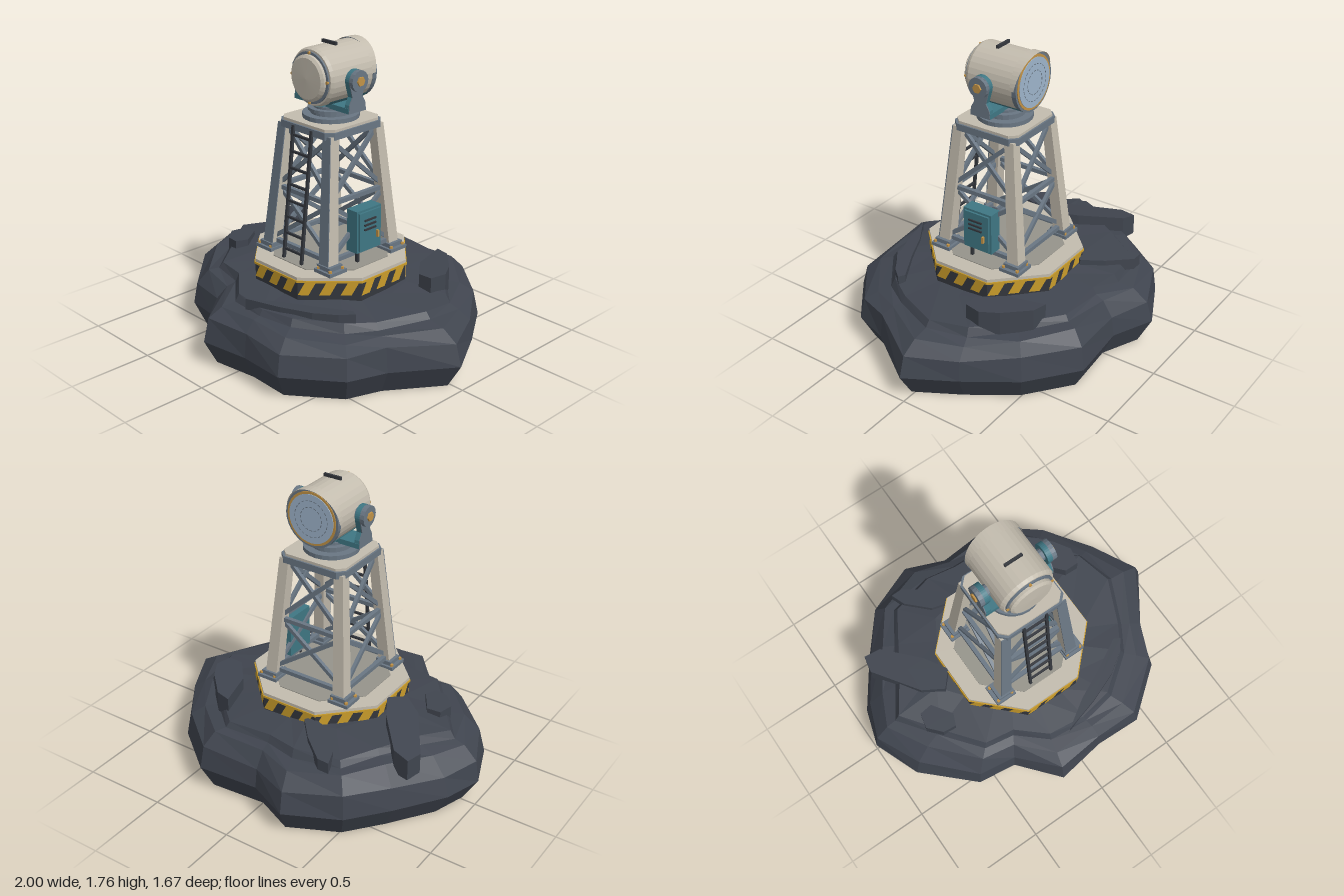
import * as THREE from 'three';

const mat = (name, color, side = THREE.FrontSide) => {
  const m = new THREE.MeshStandardMaterial({ color, side });
  m.name = name;
  return m;
};
const beige = mat('beige paint', 0xc3bcae, THREE.DoubleSide);
const deckGrey = mat('deck grey', 0x96948b);
const steel = mat('steel', 0x6a7784);
const dark = mat('dark metal', 0x34373d);
const teal = mat('teal paint', 0x3f7784, THREE.DoubleSide);
const yellow = mat('hazard yellow', 0xcb9d2b);
const bronze = mat('bronze', 0xc29347);
const lensBlue = mat('lens blue', 0x9fb5cc);
const rock = mat('rock', 0x40454f);

// faceted mesh
function part(parent, name, geo, material, x = 0, y = 0, z = 0) {
  const g = geo.index ? geo.toNonIndexed() : geo;
  g.computeVertexNormals();
  const m = new THREE.Mesh(g, material);
  m.name = name;
  m.position.set(x, y, z);
  parent.add(m);
  return m;
}
const box = (p, n, m, w, h, d, x, y, z) => part(p, n, new THREE.BoxGeometry(w, h, d), m, x, y, z);

// octagonal slab measured by its half width
function octagon(p, n, m, half, y0, y1) {
  const r = half / Math.cos(Math.PI / 8);
  const g = new THREE.CylinderGeometry(r, r, y1 - y0, 8).rotateY(Math.PI / 8);
  return part(p, n, g, m, 0, (y0 + y1) / 2, 0);
}
// cylinder along z between two depths
function barrel(p, n, m, r, z0, z1, x = 0, y = 0, sides = 32) {
  const g = new THREE.CylinderGeometry(r, r, z1 - z0, sides).rotateX(Math.PI / 2);
  return part(p, n, g, m, x, y, (z0 + z1) / 2);
}
// bar between two points
function beam(p, n, m, a, b, w, d = w) {
  const A = new THREE.Vector3(...a), B = new THREE.Vector3(...b);
  const mesh = new THREE.Mesh(new THREE.BoxGeometry(w, d, A.distanceTo(B)), m);
  mesh.name = n;
  mesh.position.copy(A).lerp(B, 0.5);
  mesh.lookAt(B);
  p.add(mesh);
}
// closed solid through a stack of rings
function loft(rings) {
  const v = [], n = rings[0].length;
  const centre = r => [0, 1, 2].map(k => r.reduce((s, q) => s + q[k], 0) / n);
  const low = rings[0], high = rings[rings.length - 1], c0 = centre(low), c1 = centre(high);
  for (let i = 0; i < n; i++) {
    const j = (i + 1) % n;
    for (let k = 0; k + 1 < rings.length; k++) {
      const a = rings[k], b = rings[k + 1];
      v.push(...a[i], ...b[i], ...b[j], ...a[i], ...b[j], ...a[j]);
    }
    v.push(...c0, ...low[i], ...low[j], ...c1, ...high[j], ...high[i]);
  }
  const g = new THREE.BufferGeometry();
  g.setAttribute('position', new THREE.Float32BufferAttribute(v, 3));
  return g;
}

function buildRock(root) {
  const outline = [[1, .02], [.84, -.26], [.65, -.54], [.37, -.76], [0, -.73], [-.25, -.84], [-.56, -.69],
    [-.74, -.47], [-.93, -.2], [-1, .02], [-.89, .3], [-.61, .57], [-.38, .6], [-.18, .835], [.12, .79],
    [.4, .8], [.69, .57], [.77, .35]].reverse();
  // scale, height, wobble of scale, wobble of height
  const levels = [[.91, 0, 0, 0], [1, .15, 0, 0], [.97, .28, .01, .015], [.88, .35, .02, .015],
    [.8, .365, .04, .01], [.77, .405, .04, .01], [.5, .43, .03, .005]];
  const rings = levels.map(([s, y, ws, wy], k) => outline.map(([x, z], i) => {
    const t = s + ws * Math.sin(i * 2.4 + 1);
    const tilt = k > 2 ? -.025 * x - .015 * z : 0;
    return [x * t, y + wy * Math.sin(i * 1.7 + k) + tilt, z * t];
  }));
  part(root, 'rock base', loft(rings), rock);

  // loose slabs: outline, top height at its centre, slope in x and z
  const slabs = [
    [[[-.43, -.64], [-.36, -.64], [-.22, -.53], [-.12, -.42], [-.15, -.38], [-.28, -.42], [-.4, -.55]], .465, .05, .12],
    [[[-.78, -.4], [-.68, -.38], [-.5, -.17], [-.42, -.03], [-.5, .06], [-.62, -.02], [-.8, -.3]], .49, .2, 0],
    [[[-.7, .09], [-.62, .08], [-.54, .2], [-.57, .27], [-.65, .26], [-.72, .18]], .465, .03, 0],
    [[[.36, -.5], [.45, -.48], [.58, -.35], [.64, -.25], [.62, -.15], [.53, -.15], [.42, -.28]], .485, .04, 0],
    [[[-.02, .66], [.15, .55], [.32, .47], [.52, .36], [.56, .38], [.5, .45], [.38, .53], [.2, .6]], .425, .03, 0]];
  for (const [pts, y, sx, sz] of slabs) {
    const cx = pts.reduce((s, q) => s + q[0], 0) / pts.length, cz = pts.reduce((s, q) => s + q[1], 0) / pts.length;
    part(root, 'rock slab', loft([pts.map(([x, z]) => [x, .33, z]),
      pts.map(([x, z]) => [x, y + sx * (x - cx) + sz * (z - cz), z])]), rock);
  }
}

function buildPlatform(g) {
  octagon(g, 'hazard band', dark, .425, .36, .512);
  octagon(g, 'platform trim', yellow, .432, .51, .522);
  octagon(g, 'platform deck', beige, .426, .522, .54);
  octagon(g, 'deck panel', deckGrey, .325, .54, .544);
  // slanted warning stripes on each side
  const s = new THREE.Shape([[0, .435], [.06, .435], [.1, .51], [.04, .51]].map(q => new THREE.Vector2(...q)));
  for (let f = 0; f < 8; f++) {
    const side = new THREE.Group();
    side.name = 'stripe side';
    side.rotation.y = f * Math.PI / 4;
    for (let i = 0; i < 3; i++)
      part(side, 'warning stripe', new THREE.ExtrudeGeometry(s, { depth: .004, bevelEnabled: false }), yellow, -.175 + i * .118, 0, .4245);
    g.add(side);
  }
}

function buildTower(g) {
  const y0 = .56, y1 = 1.3;
  const sq = (cx, cz, y, w, d) => [[1, -1], [1, 1], [-1, 1], [-1, -1]].map(([a, b]) => [cx + a * w, y, cz + b * d]);
  for (const sx of [-1, 1]) for (const sz of [-1, 1]) {
    part(g, 'leg', loft([sq(sx * .234, sz * .242, y0, .037, .037), sq(sx * .18, sz * .172, y1, .03, .03)]), beige);
    if (sz > 0) part(g, 'leg front plate', loft([sq(sx * .234, .281, y0, .037, .003), sq(sx * .18, .204, y1, .03, .003)]), steel);
    // foot pads and bolts
    box(g, 'foot pad', steel, .13, .02, .13, sx * .245, .55, sz * .24);
    box(g, 'foot block', steel, .1, .025, .1, sx * .238, .572, sz * .24);
    for (const [bx, bz] of [[.293, .288], [.293, .195], [.2, .288]])
      part(g, 'anchor bolt', new THREE.CylinderGeometry(.01, .01, .014, 6), bronze, sx * bx, .565, sz * bz);
  }
  // bracing, the same on all four sides
  const h = y => .24 - .064 * (y - y0) / (y1 - y0);
  for (let k = 0; k < 4; k++) {
    const side = new THREE.Group();
    side.name = 'bracing';
    side.rotation.y = k * Math.PI / 2;
    for (const y of [.595, .92]) beam(side, 'cross bar', steel, [-h(y), y, h(y)], [h(y), y, h(y)], .025);
    for (const [a, b] of [[.6, .91], [.93, 1.28]]) {
      beam(side, 'diagonal', steel, [-h(a), a, h(a)], [h(b), b, h(b)], .02, .024);
      beam(side, 'diagonal', steel, [h(a), a, h(a) - .012], [-h(b), b, h(b) - .012], .02, .024);
    }
    g.add(side);
  }
  // ladder leaning on the front
  const lz = y => .3 - .085 * (y - .54) / .77;
  for (const x of [-.073, .073]) beam(g, 'ladder rail', dark, [x, .54, lz(.54)], [x, 1.31, lz(1.31)], .016);
  for (let i = 0; i < 8; i++) {
    const y = .6 + i * .094;
    beam(g, 'ladder rung', dark, [-.073, y, lz(y)], [.073, y, lz(y)], .013);
  }
  // head frame and turntable
  const corner = (w, c) => [[w, -w + c], [w, w - c], [w - c, w], [-w + c, w], [-w, w - c], [-w, -w + c], [-w + c, -w], [w - c, -w]];
  const plate = (n, m, w, a, b) => part(g, n, loft([a, b].map(y => corner(w, .04).map(([x, z]) => [x, y, z]))), m);
  plate('head frame', steel, .215, 1.28, 1.32);
  plate('head plate', beige, .205, 1.32, 1.335);
  for (const [r, a, b] of [[.16, 1.335, 1.36], [.115, 1.36, 1.378], [.13, 1.378, 1.395], [.1, 1.395, 1.41]])
    part(g, 'turntable', new THREE.CylinderGeometry(r, r, b - a, 24), steel, 0, (a + b) / 2, 0);
}

function buildCabinet(g) {
  box(g, 'cabinet', teal, .08, .25, .19, .25, .735, -.015);
  box(g, 'cabinet door', teal, .014, .225, .165, .295, .735, -.015);
  for (const y of [.745, .772, .8]) box(g, 'louvre', dark, .012, .01, .09, .304, y, -.01);
  box(g, 'door handle', bronze, .018, .04, .012, .308, .7, -.065);
  box(g, 'conduit', dark, .02, .08, .016, .26, .575, .045);
}

function buildLamp(root) {
  const g = new THREE.Group();
  g.name = 'searchlight';
  g.position.set(0, 1.582, 0);
  root.add(g);
  const lathe = pts => new THREE.LatheGeometry(pts.map(q => new THREE.Vector2(...q)), 32).rotateX(Math.PI / 2);
  part(g, 'housing', lathe([[.165, -.145], [.165, .155], [.155, .174], [0, .174]]), beige);
  barrel(g, 'rear ring', steel, .145, .165, .184);
  part(g, 'rear cap', lathe([[.13, .18], [.13, .2], [.115, .212], [0, .216]]), beige);
  for (let i = 0; i < 4; i++) {
    const a = i * Math.PI / 2;
    barrel(g, 'rear bolt', bronze, .009, .18, .192, .139 * Math.cos(a), .139 * Math.sin(a), 6);
  }
  // lens end facing the back
  barrel(g, 'lens rim', steel, .169, -.163, -.135);
  barrel(g, 'lens trim', bronze, .156, -.167, -.16);
  barrel(g, 'lens', lensBlue, .142, -.171, -.16);
  for (const [r, n] of [[.105, 24], [.068, 16]]) for (let i = 0; i < n; i++) {
    const a = i * 2 * Math.PI / n;
    box(g, 'lens mark', steel, .004, .016, .002, r * Math.cos(a), r * Math.sin(a), -.1715).rotation.z = a;
  }
  // slanted hood over the lens, teal saddle underneath
  const hood = new THREE.CylinderGeometry(.172, .172, .08, 24, 1, true, Math.PI * .5, Math.PI).rotateX(Math.PI / 2);
  const p = hood.attributes.position;
  for (let i = 0; i < p.count; i++)
    p.setZ(i, p.getZ(i) < 0 ? -.15 - .036 * Math.max(0, p.getY(i)) / .172 : -.125);
  part(g, 'lens hood', hood, beige);
  part(g, 'saddle', new THREE.CylinderGeometry(.17, .17, .29, 14, 1, true, -.8, 1.6).rotateX(Math.PI / 2), teal);
  box(g, 'top handle', dark, .11, .018, .014, 0, .173, .036);

  // yoke with pivots
  const s = new THREE.Shape();
  s.moveTo(-.065, -.177);
  s.lineTo(.065, -.177);
  s.lineTo(.06, -.13);
  s.lineTo(.038, -.09);
  s.lineTo(.058, -.015);
  s.absarc(0, 0, .06, 0, Math.PI, false);
  s.lineTo(-.058, -.015);
  s.lineTo(-.038, -.09);
  s.lineTo(-.06, -.13);
  const arm = d => new THREE.ExtrudeGeometry(s, { depth: d, bevelEnabled: false, curveSegments: 8 }).rotateY(Math.PI / 2);
  box(g, 'yoke bar', teal, .43, .03, .13, 0, -.162, .035);
  for (const sx of [-1, 1]) {
    part(g, 'yoke arm', arm(.03), teal, sx > 0 ? .182 : -.212, 0, .035);
    part(g, 'yoke outer plate', arm(.006), steel, sx > 0 ? .212 : -.218, 0, .035);
    const pivot = (n, m, r, len, x, sides) =>
      part(g, n, new THREE.CylinderGeometry(r, r, len, sides).rotateZ(Math.PI / 2), m, sx * x, 0, .035);
    pivot('pivot shaft', steel, .035, .05, .17, 12);
    pivot('pivot hub', steel, .06, .022, .228, 16);
    pivot('pivot bolt', bronze, .027, .012, .243, 6);
  }
}

export function createModel() {
  const root = new THREE.Group();
  root.name = 'searchlight tower';
  buildRock(root);
  const tower = new THREE.Group();
  tower.name = 'tower';
  tower.position.z = .025;
  buildPlatform(tower);
  buildTower(tower);
  buildCabinet(tower);
  root.add(tower);
  buildLamp(root);
  return root;
}
